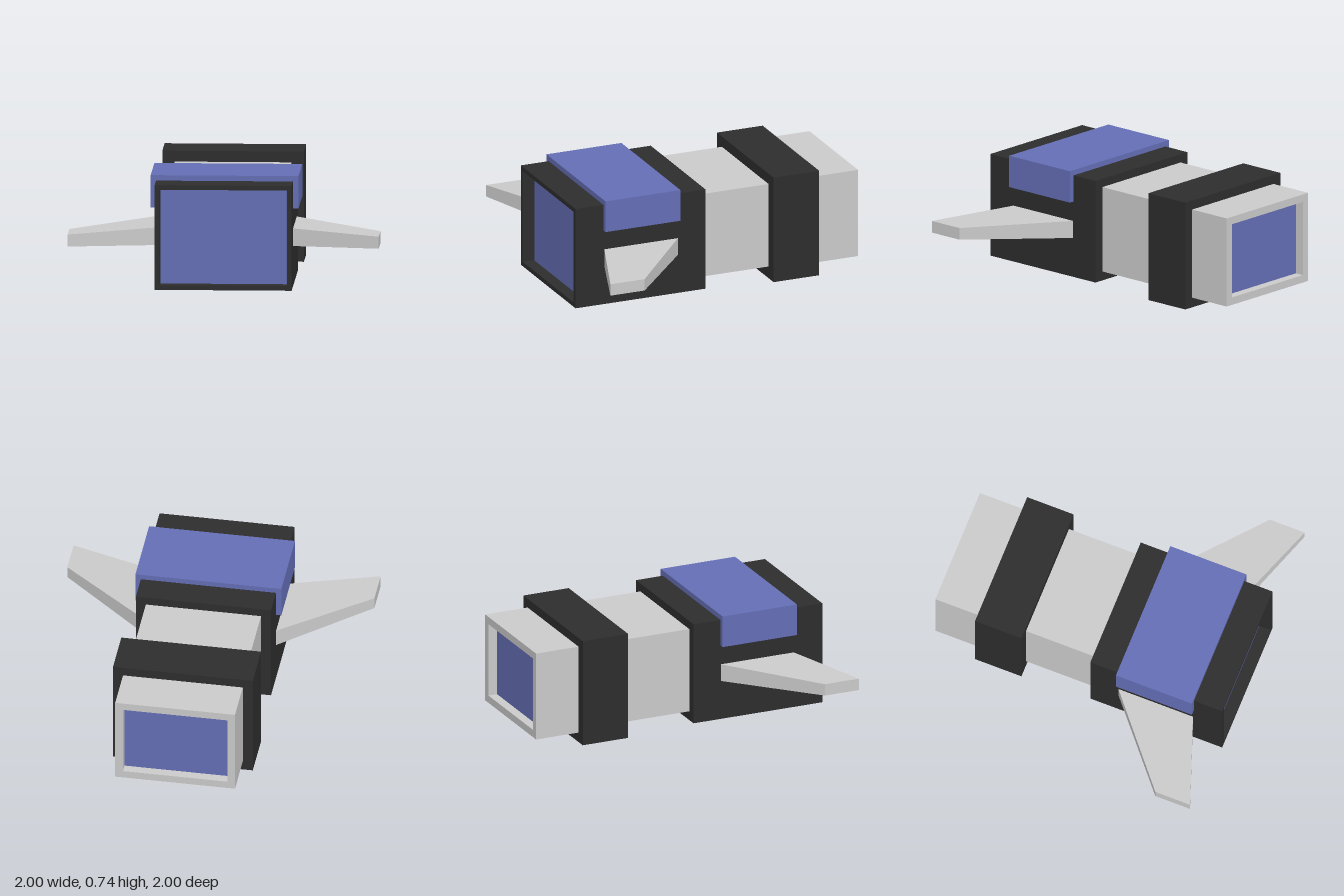
import * as THREE from 'three';

export function createModel() {
  const model = new THREE.Group();
  const mat = (name, color) => {
    const m = new THREE.MeshStandardMaterial({ color });
    m.name = name;
    return m;
  };
  const black = mat('black', 0x2d2d2d);
  const grey = mat('light grey', 0xcacaca);
  const blue = mat('blue', 0x646eb5);

  const add = (name, geometry, material) => {
    const mesh = new THREE.Mesh(geometry, material);
    mesh.name = name;
    model.add(mesh);
    return mesh;
  };

  // Box given by half width, and ranges in y and z
  const block = (name, material, hw, y0, y1, z0, z1) =>
    add(name, new THREE.BoxGeometry(hw * 2, y1 - y0, z1 - z0), material)
      .position.set(0, (y0 + y1) / 2, (z0 + z1) / 2);

  // Rectangular rim around a recess
  const rim = (name, material, hw, y0, y1, z0, z1, border) => {
    const rect = (path, w, a, b) =>
      path.moveTo(-w, a).lineTo(w, a).lineTo(w, b).lineTo(-w, b).closePath();
    const shape = new THREE.Shape();
    rect(shape, hw, y0, y1);
    const hole = new THREE.Path();
    rect(hole, hw - border, y0 + border, y1 - border);
    shape.holes.push(hole);
    const g = new THREE.ExtrudeGeometry(shape, { depth: z1 - z0, bevelEnabled: false });
    add(name, g, material).position.z = z0;
  };

  // Front body with its recessed window
  block('frontBody', black, 0.44, 0.02, 0.7, 0.09, 0.915);
  rim('frontRim', black, 0.44, 0.02, 0.7, 0.915, 1, 0.03);
  block('frontWindow', blue, 0.405, 0.045, 0.675, 0.913, 0.92);

  // Saddle over the front body
  block('saddle', blue, 0.475, 0.525, 0.735, 0.28, 0.805);

  // Neck and collar
  block('neck', grey, 0.375, 0.08, 0.645, -0.385, 0.09);
  block('collar', black, 0.455, 0, 0.715, -0.7, -0.38);

  // Rear section with its recessed window
  block('rearBody', grey, 0.39, 0.065, 0.655, -0.935, -0.7);
  rim('rearRim', grey, 0.39, 0.065, 0.655, -1, -0.935, 0.05);
  block('rearWindow', blue, 0.34, 0.115, 0.605, -0.939, -0.932);

  // Swept, tapering wings
  for (const side of [1, -1]) {
    const g = new THREE.BoxGeometry(1, 1, 1).toNonIndexed();
    const p = g.attributes.position;
    for (let i = 0; i < p.count; i++) {
      const tip = p.getX(i) * side > 0;
      const up = p.getY(i) > 0;
      const front = p.getZ(i) > 0;
      p.setXYZ(i,
        side * (tip ? 1 : 0.43),
        tip ? (up ? 0.375 : 0.297) : (up ? 0.395 : 0.28),
        tip ? (front ? 1 : 0.76) : (front ? 0.795 : 0.275));
    }
    g.computeVertexNormals();
    add(side > 0 ? 'leftWing' : 'rightWing', g, grey);
  }

  return model;
}
